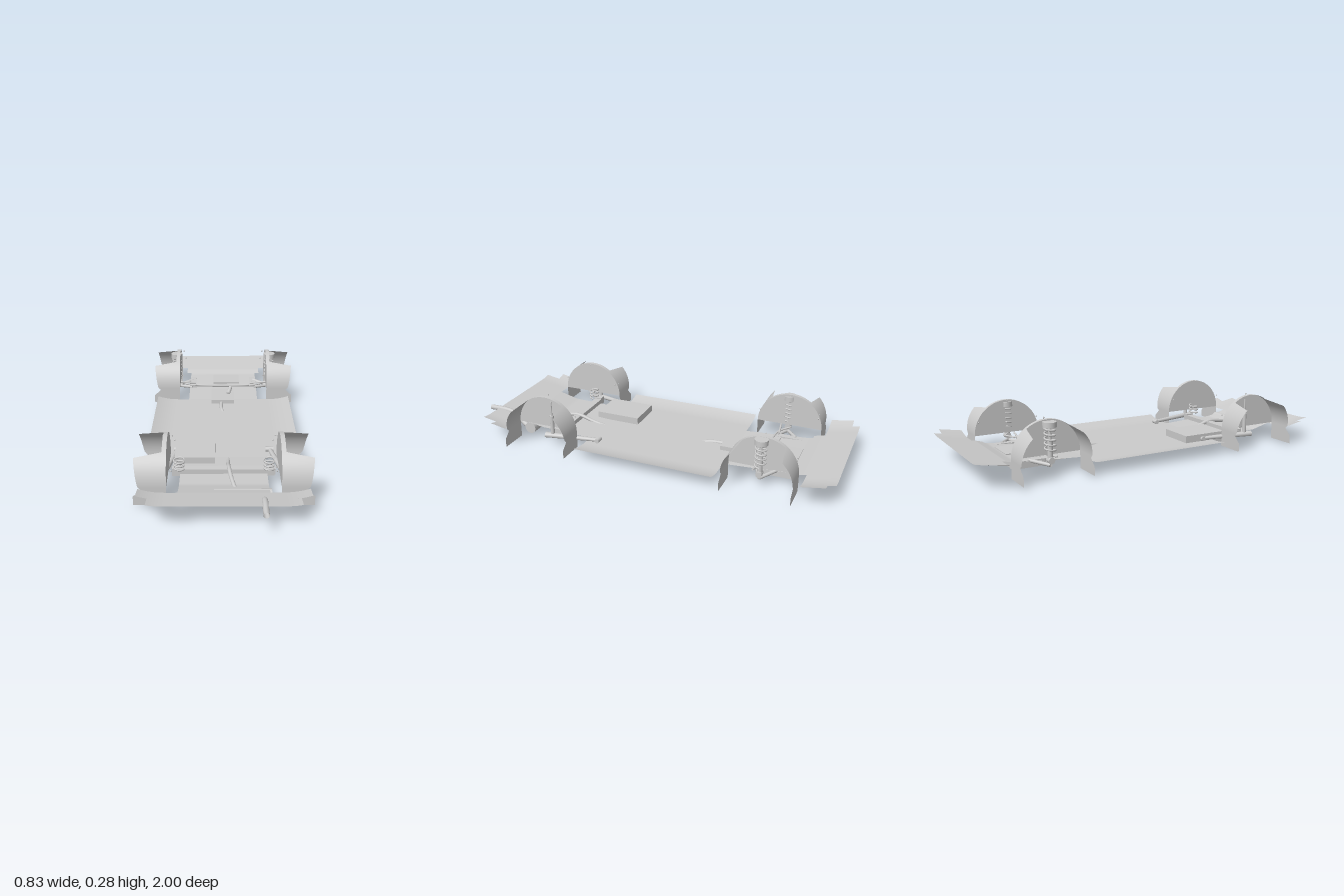
import * as THREE from 'three';
import { ParametricGeometry } from 'three/addons/geometries/ParametricGeometry.js';

const mat = new THREE.MeshStandardMaterial({ color: 0xcccccc, side: THREE.DoubleSide });
const V = (x, y, z) => new THREE.Vector3(x, y, z);
const lerp = THREE.MathUtils.lerp;

export function createModel() {
  const root = new THREE.Group();
  const add = (name, geo, x = 0, y = 0, z = 0) => {
    const m = new THREE.Mesh(geo, mat);
    m.name = name;
    m.position.set(x, y, z);
    root.add(m);
    return m;
  };
  // box given by its limits
  const box = (name, x0, x1, y0, y1, z0, z1) =>
    add(name, new THREE.BoxGeometry(x1 - x0, y1 - y0, z1 - z0), (x0 + x1) / 2, (y0 + y1) / 2, (z0 + z1) / 2);
  // round rod between two points, optionally tapered
  const rod = (name, a, b, ra, rb = ra, seg = 14) => {
    const m = add(name, new THREE.CylinderGeometry(rb, ra, a.distanceTo(b), seg));
    m.position.copy(a).lerp(b, 0.5);
    m.quaternion.setFromUnitVectors(V(0, 1, 0), b.clone().sub(a).normalize());
    return m;
  };
  const tube = (name, pts, r, n = 40) =>
    add(name, new THREE.TubeGeometry(new THREE.CatmullRomCurve3(pts), n, r, 10));
  const coil = (name, x, y0, y1, z, r, turns, wire) => {
    const pts = [];
    for (let i = 0; i <= turns * 12; i++) {
      const a = i * Math.PI / 6;
      pts.push(V(x + r * Math.cos(a), lerp(y0, y1, i / (turns * 12)), z + r * Math.sin(a)));
    }
    tube(name, pts, wire, turns * 24);
  };
  const surface = (name, fn, nu, nv) =>
    add(name, new ParametricGeometry((u, v, t) => t.copy(fn(u, v)), nu, nv));

  // floor height along z, curling up towards the sides
  const profile = [[-1, 0.118], [-0.82, 0.087], [-0.76, 0.07], [-0.58, 0.057], [-0.41, 0.047],
    [0.35, 0.047], [0.5, 0.055], [0.66, 0.058], [0.77, 0.085], [0.94, 0.116]];
  const floorY = (x, z) => {
    let i = 0;
    while (i < profile.length - 2 && z > profile[i + 1][0]) i++;
    const [z0, y0] = profile[i], [z1, y1] = profile[i + 1];
    const curl = Math.max(0, Math.abs(x) - 0.27) / 0.12;
    return lerp(y0, y1, (z - z0) / (z1 - z0)) + 0.02 * curl * curl;
  };
  const floorParts = [
    ['noseEdge', -1, -0.96, 0.34], ['nosePanel', -0.96, -0.84, 0.39], ['noseNeck', -0.84, -0.78, 0.23],
    ['frontFloor', -0.78, -0.41, 0.205], ['mainFloor', -0.41, 0.35, 0.39], ['rearFloor', 0.35, 0.77, 0.21],
    ['tailPanel', 0.77, 0.86, 0.39], ['tailEdge', 0.86, 0.94, 0.34]];
  for (const [name, z0, z1, w] of floorParts) {
    surface(name, (u, v) => {
      const x = lerp(-w, w, u), z = lerp(z0, z1, v);
      return V(x, floorY(x, z), z);
    }, 32, 16);
  }

  // wheel housings
  const R = 0.177, BASE = 0.101;
  const flapShape = s => new THREE.Shape([[0.262, 0.01], [0.415, 0.01], [0.415, 0.055], [0.377, 0.09],
    [0.39, BASE], [0.262, BASE]].map(([x, y]) => new THREE.Vector2(s * x, y)));
  for (const s of [1, -1]) {
    for (const [end, zc] of [['rear', 0.576], ['front', -0.632]]) {
      const wall = add(end + 'ArchWall', new THREE.CircleGeometry(R, 48, 0, Math.PI), s * 0.262, BASE, zc);
      wall.rotation.y = s * Math.PI / 2;
      surface(end + 'ArchRim', (u, v) => {
        const a = Math.PI * u;
        return V(s * lerp(0.262, 0.283, v), BASE + R * Math.sin(a), zc + R * Math.cos(a));
      }, 48, 1);
      for (const d of [1, -1]) {
        // wide liner at each end of the arch, with a hanging flap below
        surface(end + 'ArchLiner', (u, v) => {
          const a = u * Math.asin(lerp(0.143, 0.125, v) / R), h = R * Math.sin(a);
          const outer = lerp(0.39, 0.411, Math.min(1, h / 0.125) ** 0.7);
          return V(s * lerp(0.283, outer, v), BASE + h, zc + d * R * Math.cos(a));
        }, 20, 8);
        add(end + 'MudFlap', new THREE.ShapeGeometry(flapShape(s)), 0, 0, zc + d * R);
      }
      // liner fasteners
      for (const a of [0.44, Math.PI / 2, Math.PI - 0.44])
        add(end + 'ArchBolt', new THREE.SphereGeometry(0.004, 8, 6),
          s * 0.24, BASE + R * Math.sin(a), zc + R * Math.cos(a));
    }

    // front strut, spring and cap
    const fz = -0.622;
    rod('frontStrut', V(s * 0.285, 0.075, fz), V(s * 0.285, 0.18, fz), 0.013);
    rod('frontStrutRod', V(s * 0.285, 0.17, fz), V(s * 0.285, 0.25, fz), 0.007);
    rod('frontStrutCap', V(s * 0.285, 0.24, fz), V(s * 0.285, 0.266, fz), 0.034, 0.034, 24);
    coil('frontSpring', s * 0.285, 0.12, 0.24, fz, 0.026, 5, 0.004);
    rod('frontHub', V(s * 0.27, 0.08, fz), V(s * 0.305, 0.08, fz), 0.016);
    // front wishbone and steering link
    rod('frontWishbone', V(s * 0.19, 0.065, -0.69), V(s * 0.285, 0.055, fz), 0.009);
    rod('frontWishbone', V(s * 0.19, 0.06, -0.58), V(s * 0.285, 0.055, fz), 0.009);
    rod('steeringLink', V(s * 0.17, 0.08, -0.6), V(s * 0.28, 0.09, -0.585), 0.005);

    // rear trailing arm, spring and damper
    const arm = rod('rearTrailingArm', V(s * 0.235, 0.06, 0.28), V(s * 0.295, 0.065, 0.575), 0.011, 0.018, 8);
    arm.scale.z = 0.8;
    rod('trailingArmBush', V(s * 0.215, 0.06, 0.285), V(s * 0.255, 0.06, 0.285), 0.012);
    box('rearSpringSeat', s * 0.232 - 0.017, s * 0.232 + 0.017, 0.055, 0.085, 0.5, 0.545);
    coil('rearSpring', s * 0.215, 0.085, 0.14, 0.545, 0.024, 3, 0.004);
    rod('rearDamperBody', V(s * 0.285, 0.075, 0.535), V(s * 0.285, 0.18, 0.535), 0.011);
    rod('rearDamperRod', V(s * 0.285, 0.175, 0.535), V(s * 0.285, 0.26, 0.535), 0.004);

    // front subframe side rail
    box('subframeRail', s * 0.185 - 0.017, s * 0.185 + 0.017, 0.033, 0.068, -0.78, -0.58);
  }

  // front subframe, engine sump, gearbox
  box('subframeFrontBar', -0.2, 0.2, 0.035, 0.068, -0.78, -0.745);
  box('subframeRearBar', -0.2, 0.2, 0.033, 0.066, -0.615, -0.58);
  box('engineSump', -0.06, 0.1, 0.022, 0.074, -0.76, -0.63);
  box('gearbox', -0.07, 0.065, 0.01, 0.07, -0.525, -0.345);
  tube('antiRollBar', [V(-0.28, 0.08, -0.64), V(-0.22, 0.075, -0.59), V(-0.15, 0.072, -0.578),
    V(0.15, 0.072, -0.578), V(0.22, 0.075, -0.59), V(0.28, 0.08, -0.64)], 0.005);
  rod('gearLever', V(0.03, 0.07, -0.44), V(0.045, 0.088, -0.5), 0.011);

  // rear axle and fuel tank
  box('rearAxleBeam', -0.25, 0.245, 0.045, 0.078, 0.5, 0.54);
  box('fuelTank', -0.243, -0.043, 0.027, 0.085, 0.18, 0.428);

  // exhaust line
  tube('exhaustFrontPipe', [V(-0.01, 0.05, -0.36), V(-0.01, 0.045, -0.27), V(0.015, 0.03, -0.18), V(0.025, 0.026, -0.12)], 0.01);
  rod('resonator', V(0.025, 0.025, -0.14), V(0.025, 0.025, 0.04), 0.022, 0.022, 24);
  tube('exhaustRearPipe', [V(0.025, 0.026, 0.03), V(0.025, 0.032, 0.3), V(0.022, 0.05, 0.42), V(0.025, 0.078, 0.52),
    V(0.035, 0.07, 0.6), V(0.06, 0.045, 0.71)], 0.01, 60);
  rod('muffler', V(-0.045, 0.043, 0.722), V(0.22, 0.043, 0.722), 0.032, 0.032, 32);
  tube('tailPipe', [V(0.195, 0.043, 0.735), V(0.19, 0.043, 0.765), V(0.182, 0.07, 0.81), V(0.178, 0.1, 0.86),
    V(0.178, 0.107, 0.9), V(0.178, 0.107, 1)], 0.014);
  return root;
}
